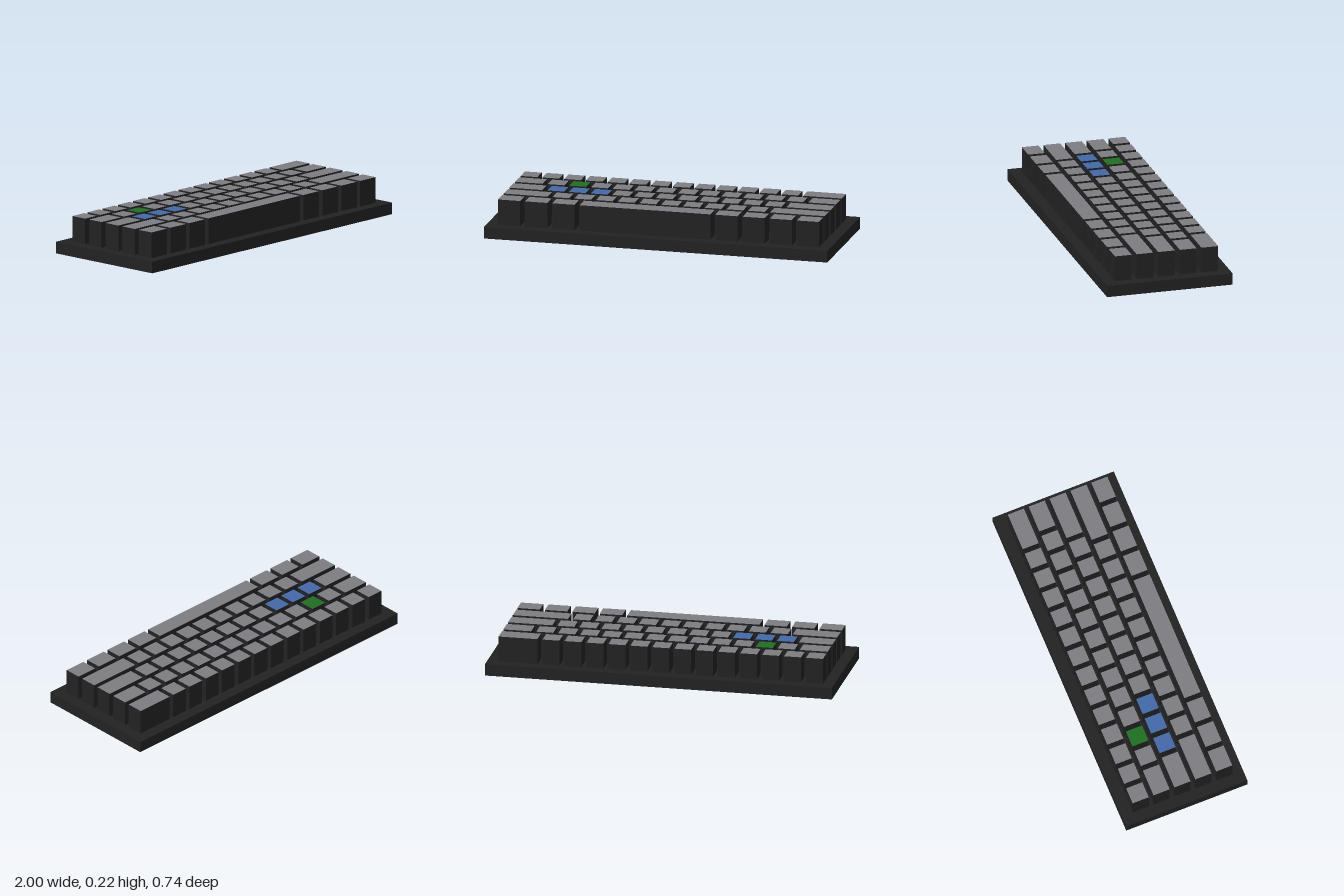
import * as THREE from 'three';

const mat = (name, color) => Object.assign(new THREE.MeshStandardMaterial({ color }), { name });

export function createModel() {
  const black = mat('black plastic', 0x222222);
  const grey = mat('grey keytop', 0x7d7c82);
  const blue = mat('blue keytop', 0x4169aa);
  const green = mat('green keytop', 0x206e20);

  const model = new THREE.Group();
  model.name = 'keyboard';

  // Flat slab under the keys
  const baseH = 0.067;
  const base = new THREE.Mesh(new THREE.BoxGeometry(2, baseH, 0.737), black);
  base.name = 'base';
  base.position.y = baseH / 2;
  model.add(base);

  // Key widths in units, from the back row to the front row
  const ones = (n) => Array(n).fill(1);
  const rows = [
    [...ones(13), 2],
    [1.5, ...ones(12), 1.5],
    [1.75, ...ones(11), 2.25],
    [2.25, ...ones(10), 2.75],
    [1.25, 1.25, 1.25, 6.25, 1.25, 1.25, 1.25, 1.25],
  ];
  // Highlighted keys, by row and column
  const accents = { '1,2': green, '2,1': blue, '2,2': blue, '2,3': blue };

  const unit = 0.1266, gap = 0.029, keyH = 0.148;
  rows.forEach((widths, r) => {
    const row = new THREE.Group();
    row.name = `keyRow${r + 1}`;
    row.position.set(0, baseH + keyH / 2, (r - 2) * 0.127);
    let x = -7.5 * unit;
    widths.forEach((w, c) => {
      // Black sides, coloured top face
      const top = accents[`${r},${c}`] || grey;
      const key = new THREE.Mesh(
        new THREE.BoxGeometry(w * unit - gap, keyH, 0.098),
        [black, black, top, black, black, black]
      );
      key.name = w > 6 ? 'spaceBar' : 'key';
      key.position.x = x + (w * unit) / 2;
      x += w * unit;
      row.add(key);
    });
    model.add(row);
  });
  return model;
}
